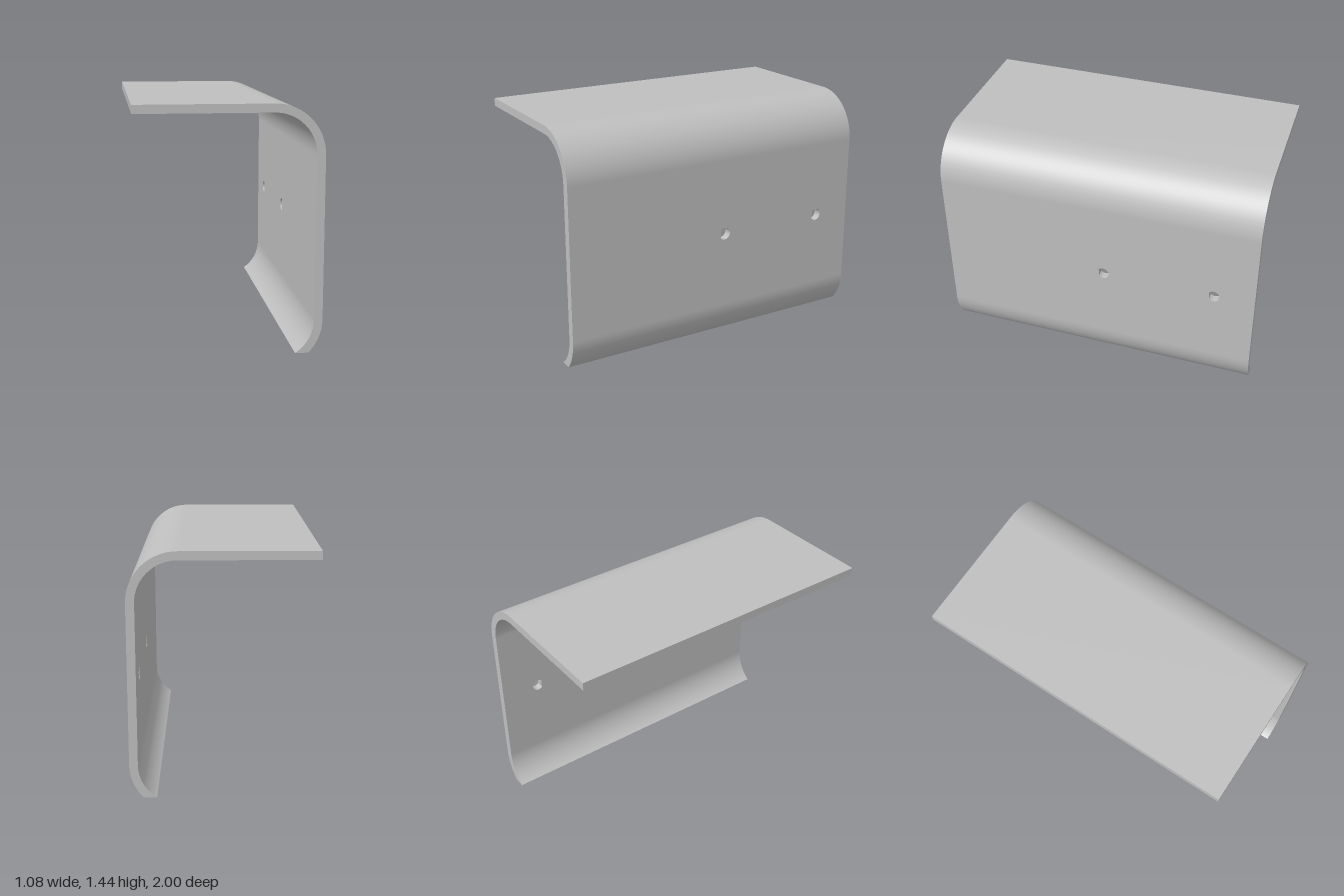
import * as THREE from 'three';
import { toCreasedNormals } from 'three/addons/utils/BufferGeometryUtils.js';

const LENGTH = 2, OUTER = 0.29, INNER = 0.24;     // bracket length, bend radii
const BEND_X = 0.25, TOP_Y = 1.15, LOW_Y = 0.2;   // bend centres
const LEFT_EDGE = -0.54;

export function createModel() {
  const steel = new THREE.MeshStandardMaterial({ color: 0xbfbfbf });
  steel.name = 'grey steel';
  const group = new THREE.Group();
  group.name = 'bentBracket';

  const add = (name, shape, depth, curveSegments) => {
    const geo = new THREE.ExtrudeGeometry(shape, { depth, curveSegments, bevelEnabled: false });
    const mesh = new THREE.Mesh(toCreasedNormals(geo, 0.4), steel);
    mesh.name = name;
    group.add(mesh);
    return mesh;
  };

  // Flat top flange running into the upper bend
  const top = new THREE.Shape();
  top.moveTo(LEFT_EDGE, TOP_Y + INNER);
  top.lineTo(BEND_X, TOP_Y + INNER);
  top.absarc(BEND_X, TOP_Y, INNER, Math.PI / 2, 0, true);
  top.lineTo(BEND_X + OUTER, TOP_Y);
  top.absarc(BEND_X, TOP_Y, OUTER, 0, Math.PI / 2, false);
  top.lineTo(LEFT_EDGE, TOP_Y + OUTER);
  top.closePath();
  add('topFlange', top, LENGTH, 24).position.z = -LENGTH / 2;

  // Lower curved lip, cut off level at the ground
  const lip = new THREE.Shape();
  lip.moveTo(BEND_X + INNER, LOW_Y);
  lip.absarc(BEND_X, LOW_Y, INNER, 0, -Math.asin(LOW_Y / INNER), true);
  lip.absarc(BEND_X, LOW_Y, OUTER, -Math.asin(LOW_Y / OUTER), 0, false);
  lip.closePath();
  add('lowerLip', lip, LENGTH, 16).position.z = -LENGTH / 2;

  // Upright wall, drawn with -z to the right, with teardrop screw holes
  const wall = new THREE.Shape();
  wall.moveTo(-LENGTH / 2, LOW_Y);
  wall.lineTo(LENGTH / 2, LOW_Y);
  wall.lineTo(LENGTH / 2, TOP_Y);
  wall.lineTo(-LENGTH / 2, TOP_Y);
  wall.closePath();
  const r = 0.038, y = 0.677;
  for (const u of [0.045, 0.747]) {
    const hole = new THREE.Path();
    hole.moveTo(u - r * Math.SQRT2, y);
    hole.absarc(u, y, r, -Math.PI * 0.75, Math.PI * 0.75, false);
    hole.closePath();
    wall.holes.push(hole);
  }
  const wallMesh = add('uprightWall', wall, OUTER - INNER, 24);
  wallMesh.rotation.y = Math.PI / 2;
  wallMesh.position.x = BEND_X + INNER;

  return group;
}
